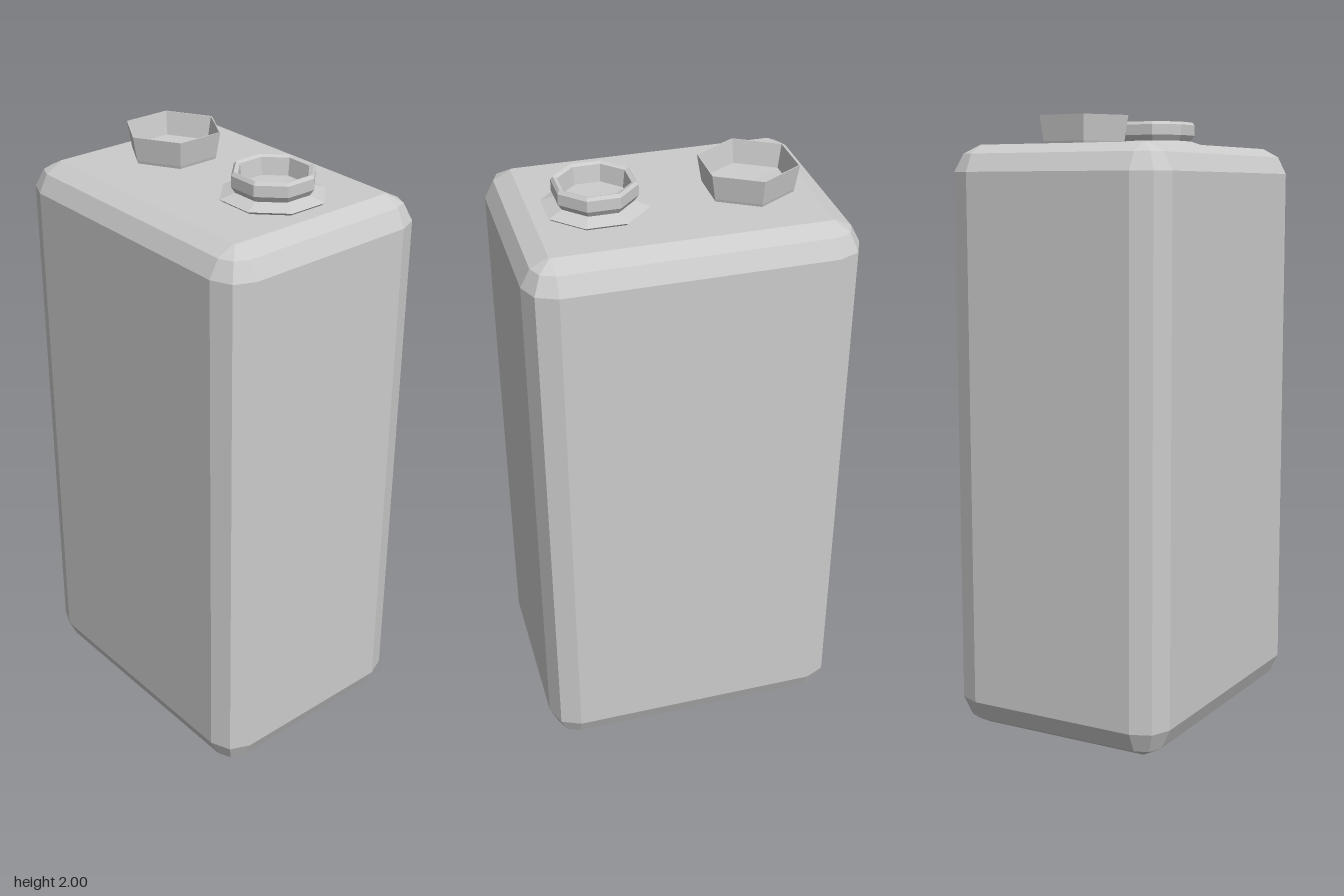
import * as THREE from 'three';

const material = new THREE.MeshStandardMaterial({ color: 0xcccccc, flatShading: true });
const shellMaterial = new THREE.MeshStandardMaterial({
  color: 0xcccccc, flatShading: true, side: THREE.DoubleSide,
});

// Rectangle with two-facet corners, shrunk by inset
function bodySection(y, inset) {
  const hx = 0.386 - inset, hz = 0.516 - inset;
  const cut = Math.max(0.094 - inset, 0.006);
  const points = [];
  for (const [sx, sz] of [[1, 1], [-1, 1], [-1, -1], [1, -1]]) {
    const corner = [[hx, hz - cut], [hx - cut * 0.3, hz - cut * 0.3], [hx - cut, hz]];
    if (sx * sz < 0) corner.reverse();
    for (const [x, z] of corner) points.push([sx * x, y, sz * z]);
  }
  return points;
}

// Join closed sections from bottom to top and cap both ends
function loft(sections) {
  const n = sections[0].length;
  const index = [];
  for (let i = 0; i < sections.length - 1; i++) {
    for (let j = 0; j < n; j++) {
      const a = i * n + j, b = i * n + (j + 1) % n;
      index.push(a, a + n, b + n, a, b + n, b);
    }
  }
  const top = (sections.length - 1) * n;
  for (let j = 1; j < n - 1; j++) {
    index.push(0, j, j + 1, top, top + j + 1, top + j);
  }
  const geometry = new THREE.BufferGeometry();
  geometry.setAttribute('position', new THREE.Float32BufferAttribute(sections.flat(2), 3));
  geometry.setIndex(index);
  const flat = geometry.toNonIndexed();
  flat.computeVertexNormals();
  return flat;
}

// Faceted turned part from [radius, height] pairs
function turned(name, profile, sides, start, x, z) {
  const points = profile.map(([r, y]) => new THREE.Vector2(r, y));
  const geometry = new THREE.LatheGeometry(points, sides, start).toNonIndexed();
  geometry.computeVertexNormals();
  const mesh = new THREE.Mesh(geometry, shellMaterial);
  mesh.name = name;
  mesh.position.set(x, 0, z);
  return mesh;
}

export function createModel() {
  const group = new THREE.Group();
  group.name = 'canister';

  // Tall body with bevelled edges
  const levels = [[0, 0.086], [0.03, 0.03], [0.095, 0], [1.825, 0], [1.882, 0.03], [1.911, 0.086]];
  const body = new THREE.Mesh(loft(levels.map(([y, inset]) => bodySection(y, inset))), material);
  body.name = 'body';
  group.add(body);

  // Filler neck at the front: collar, waist, rim and recessed floor
  group.add(turned('fillerNeck', [
    [0.15, 1.905], [0.168, 1.92], [0.12, 1.936], [0.133, 1.955], [0.133, 1.99],
    [0.125, 2.0], [0.112, 1.995], [0.105, 1.94], [0, 1.935],
  ], 8, Math.PI / 8, 0.02, 0.23));

  // Open hexagonal cup at the back
  group.add(turned('hexCup', [
    [0.14, 1.9], [0.146, 1.92], [0.16, 2.0], [0.156, 2.0], [0.142, 1.925], [0, 1.918],
  ], 6, Math.PI / 2, 0.02, -0.25));

  return group;
}
